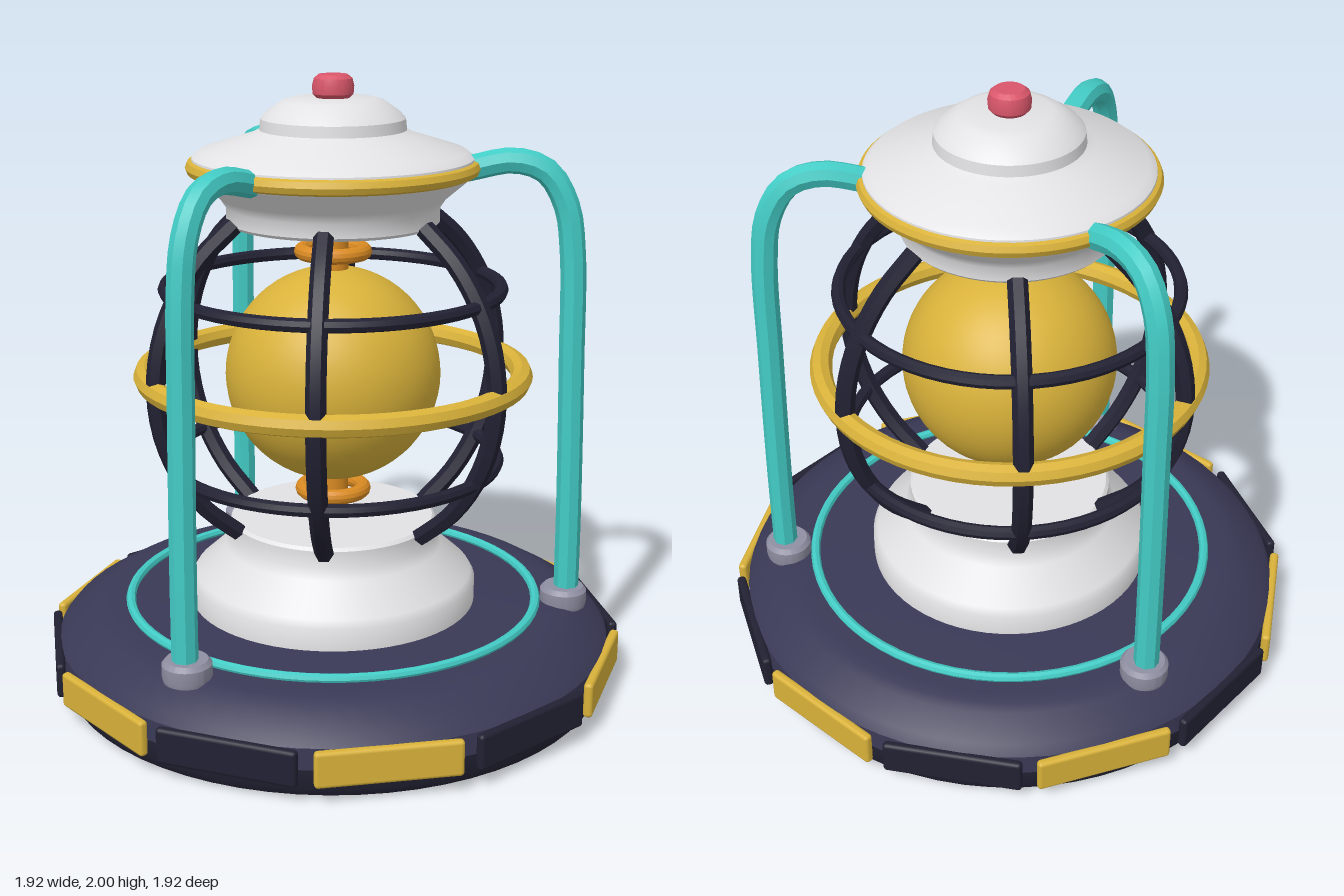
import * as THREE from 'three';
import { toCreasedNormals } from 'three/addons/utils/BufferGeometryUtils.js';
import { RoundedBoxGeometry } from 'three/addons/geometries/RoundedBoxGeometry.js';

const material = (name, color) => {
  const m = new THREE.MeshStandardMaterial({ color });
  m.name = name;
  return m;
};

export function createModel() {
  const navy = material('navy', 0x3a3956);
  const dark = material('dark navy', 0x222133);
  const white = material('white', 0xe2e2e4);
  const gold = material('gold', 0xd9b23a);
  const teal = material('teal', 0x43cbc5);
  const grey = material('grey', 0x9090a4);
  const orange = material('orange', 0xd98a22);
  const red = material('red', 0xd9566a);

  const model = new THREE.Group();
  model.name = 'lantern';

  const add = (name, geometry, mat, parent = model) => {
    const mesh = new THREE.Mesh(geometry, mat);
    mesh.name = name;
    parent.add(mesh);
    return mesh;
  };
  // Turned part from [radius, height] pairs, bottom to top
  const turned = (name, points, mat, parent) => {
    const g = new THREE.LatheGeometry(points.map(([r, y]) => new THREE.Vector2(r, y)), 64);
    return add(name, toCreasedNormals(g, 0.6), mat, parent);
  };
  // Horizontal ring
  const ring = (name, radius, tube, y, mat, sides = 8) => {
    const g = new THREE.TorusGeometry(radius, tube, sides, 64).rotateX(Math.PI / 2);
    const mesh = add(name, toCreasedNormals(g, 0.4), mat);
    mesh.position.y = y;
    return mesh;
  };
  // Faceted bar with closed ends, drawn in the plane x = 0 from [z, y] pairs
  const bar = (name, points, radius, sides, steps, mat, parent) => {
    const curve = new THREE.CatmullRomCurve3(points.map(([z, y]) => new THREE.Vector3(0, y, z)));
    add(name, toCreasedNormals(new THREE.TubeGeometry(curve, steps, radius, sides), 0.4), mat, parent);
    [0, 1].forEach((t) => {
      const cap = add(name + 'End', new THREE.CircleGeometry(radius, sides), mat, parent);
      const p = curve.getPoint(t);
      const d = curve.getTangent(t).multiplyScalar(t ? 1 : -1);
      cap.position.copy(p);
      cap.quaternion.setFromUnitVectors(new THREE.Vector3(0, 0, 1), d);
    });
  };

  // Base
  turned('basePlate', [[0, 0], [0.87, 0], [0.9, 0.01], [0.92, 0.04], [0.92, 0.1]], dark);
  turned('baseDeck', [[0.92, 0.1], [0.92, 0.17], [0.895, 0.2], [0.81, 0.25],
    [0.78, 0.262], [0.74, 0.267], [0, 0.267]], navy);
  ring('baseRing', 0.68, 0.016, 0.275, teal);

  // Alternating panels round the rim
  for (let i = 0; i < 12; i++) {
    const a = ((15 + 30 * i) * Math.PI) / 180;
    const panel = add('rimPanel', new RoundedBoxGeometry(0.445, 0.115, 0.03, 2, 0.012), i % 2 ? gold : dark);
    panel.position.set(Math.sin(a) * 0.922, 0.118, Math.cos(a) * 0.922);
    panel.rotation.y = a;
  }

  // Pedestal
  turned('pedestal', [[0.475, 0.26], [0.475, 0.34], [0.46, 0.365], [0.36, 0.455],
    [0.34, 0.49], [0.34, 0.545], [0.33, 0.555], [0, 0.555]], white);

  // Core: globe on a spindle with two collars
  add('globe', new THREE.SphereGeometry(0.35, 48, 32), gold).position.y = 1.04;
  add('spindle', new THREE.CylinderGeometry(0.05, 0.05, 1, 24), orange).position.y = 1.04;
  ring('lowerCollar', 0.1, 0.025, 0.642, orange, 12);
  ring('upperCollar', 0.1, 0.025, 1.442, orange, 12);

  // Cage
  const arc = [];
  for (let i = 0; i <= 8; i++) {
    const t = THREE.MathUtils.degToRad(-56 + 14 * i);
    arc.push([0.61 * Math.cos(t), 1.045 + 0.61 * Math.sin(t)]);
  }
  for (let i = 0; i < 6; i++) {
    const rib = new THREE.Group();
    rib.name = 'cageRib';
    rib.rotation.y = Math.PI / 2 + (i * Math.PI) / 3;
    bar('rib', arc, 0.031, 6, 24, dark, rib);
    model.add(rib);
  }
  ring('lowerCageRing', 0.54, 0.022, 0.757, dark);
  ring('upperCageRing', 0.54, 0.022, 1.328, dark);
  ring('equatorRing', 0.612, 0.036, 1.045, gold);

  // Cap
  turned('cap', [[0, 1.535], [0.33, 1.535], [0.34, 1.545], [0.34, 1.59], [0.36, 1.62],
    [0.43, 1.68], [0.45, 1.71], [0.445, 1.745], [0.42, 1.765], [0.26, 1.815],
    [0.232, 1.83], [0.228, 1.865], [0.21, 1.885], [0.16, 1.92], [0.13, 1.928], [0, 1.928]], white);
  ring('capRing', 0.44, 0.026, 1.715, gold);
  turned('knob', [[0, 1.925], [0.05, 1.925], [0.064, 1.94], [0.066, 1.965],
    [0.06, 1.988], [0.045, 2], [0, 2]], red);

  // Three arms with feet
  for (let i = 0; i < 3; i++) {
    const arm = new THREE.Group();
    arm.name = 'supportArm';
    arm.rotation.y = (i * Math.PI * 2) / 3;
    bar('arm', [[0.782, 0.27], [0.78, 0.6], [0.77, 1.1], [0.76, 1.45], [0.735, 1.6],
      [0.67, 1.705], [0.57, 1.738], [0.42, 1.71]], 0.041, 8, 40, teal, arm);
    const foot = turned('foot', [[0.073, 0], [0.077, 0.015], [0.077, 0.055],
      [0.065, 0.07], [0, 0.07]], grey, arm);
    foot.position.set(0, 0.25, 0.773);
    model.add(arm);
  }
  return model;
}
